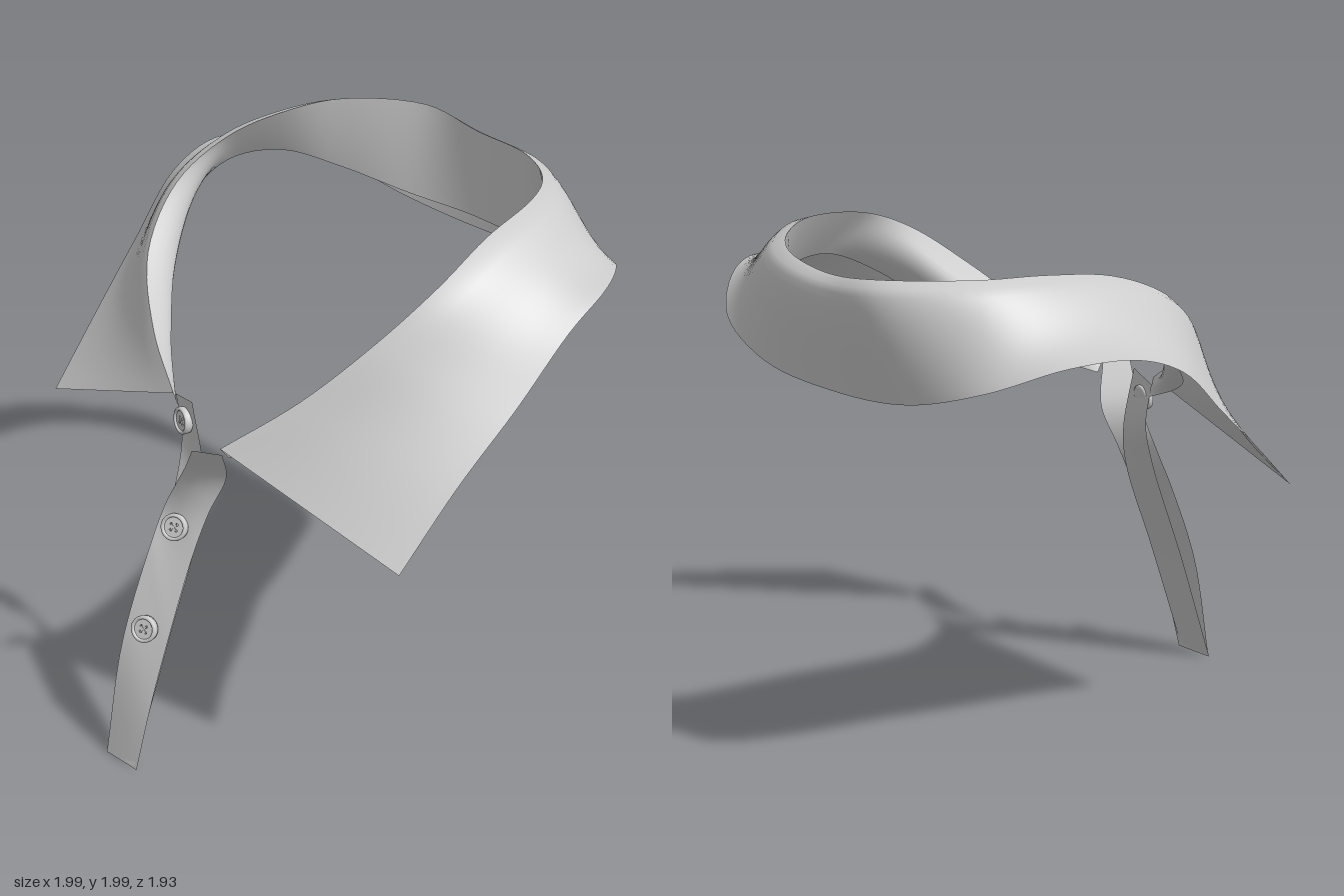
import * as THREE from 'three';

const cloth = new THREE.MeshStandardMaterial({ color: 0xcccccc, side: THREE.DoubleSide });
const curve = (pts) => new THREE.CatmullRomCurve3(pts.map((p) => new THREE.Vector3(...p)));
const outward = (p) => new THREE.Vector3(p.x, 0, p.z + 0.2).normalize();

// Smooth sheet stretched between two curves; bulge(point, t, s) may push it out
function sheet(name, a, b, nt, ns, bulge) {
  const pos = [], index = [];
  for (let i = 0; i <= nt; i++) {
    const t = i / nt, pa = a.getPoint(t), pb = b.getPoint(t);
    for (let j = 0; j <= ns; j++) {
      const p = pa.clone().lerp(pb, j / ns);
      if (bulge) bulge(p, t, j / ns);
      pos.push(p.x, p.y, p.z);
      if (i < nt && j < ns) {
        const k = i * (ns + 1) + j, m = k + ns + 1;
        index.push(k, k + 1, m, k + 1, m + 1, m);
      }
    }
  }
  const g = new THREE.BufferGeometry();
  g.setAttribute('position', new THREE.Float32BufferAttribute(pos, 3));
  g.setIndex(index);
  g.computeVertexNormals();
  const mesh = new THREE.Mesh(g, cloth);
  mesh.name = name;
  return mesh;
}

// Round button: raised rim, sunken face with four holes, crossed thread
function button(name, position, normal) {
  const group = new THREE.Group();
  group.name = name;
  const rimProfile = [[0, -0.015], [0.04, -0.015], [0.048, -0.012], [0.05, 0.004],
    [0.049, 0.014], [0.043, 0.018], [0.038, 0.015], [0.036, 0.008]];
  const rim = new THREE.Mesh(
    new THREE.LatheGeometry(rimProfile.map((p) => new THREE.Vector2(...p)), 28), cloth);
  rim.rotation.x = Math.PI / 2;
  rim.name = 'buttonRim';

  const disc = new THREE.Shape().absarc(0, 0, 0.038, 0, Math.PI * 2);
  for (let i = 0; i < 4; i++) {
    const a = Math.PI / 4 + i * Math.PI / 2;
    disc.holes.push(new THREE.Path().absarc(Math.cos(a) * 0.015, Math.sin(a) * 0.015, 0.005, 0, Math.PI * 2, true));
  }
  const face = new THREE.Mesh(
    new THREE.ExtrudeGeometry(disc, { depth: 0.01, bevelEnabled: false, curveSegments: 14 }), cloth);
  face.name = 'buttonFace';
  group.add(rim, face);
  for (const s of [-1, 1]) {
    const thread = new THREE.Mesh(new THREE.BoxGeometry(0.032, 0.005, 0.004), cloth);
    thread.position.z = 0.011;
    thread.rotation.z = s * Math.PI / 4;
    thread.name = 'buttonThread';
    group.add(thread);
  }
  group.position.set(...position);
  group.lookAt(group.position.clone().add(new THREE.Vector3(...normal)));
  return group;
}

export function createModel() {
  const model = new THREE.Group();
  model.name = 'shirtCollar';

  // Matching points round the neck, from the right front to the left front
  const fold = curve([
    [-0.15, 1.32, 0.53], [-0.36, 1.46, 0.43], [-0.56, 1.65, 0.27], [-0.65, 1.83, 0.04],
    [-0.645, 1.94, -0.22], [-0.6, 1.98, -0.48], [-0.52, 1.99, -0.71], [-0.27, 1.98, -0.91],
    [0, 1.95, -0.9], [0.28, 1.96, -0.84], [0.48, 1.97, -0.7], [0.6, 1.98, -0.5],
    [0.645, 1.94, -0.2], [0.65, 1.84, 0.04], [0.57, 1.68, 0.25], [0.42, 1.48, 0.46], [0.23, 1.3, 0.66]]);
  const leafEdge = curve([
    [-0.84, 1.07, 0.52], [-0.89, 1.28, 0.27], [-0.95, 1.49, 0], [-0.995, 1.69, -0.25],
    [-0.98, 1.77, -0.46], [-0.88, 1.76, -0.66], [-0.68, 1.67, -0.83], [-0.38, 1.58, -0.9],
    [0, 1.55, -0.915], [0.38, 1.57, -0.9], [0.68, 1.66, -0.83], [0.87, 1.76, -0.65],
    [0.975, 1.77, -0.45], [0.99, 1.69, -0.25], [0.98, 1.49, 0], [0.95, 1.28, 0.25], [0.92, 1.03, 0.5]]);
  const standEdge = curve([
    [-0.16, 1.25, 0.5], [-0.42, 1.37, 0.36], [-0.62, 1.5, 0.17], [-0.74, 1.68, -0.08],
    [-0.76, 1.78, -0.32], [-0.7, 1.77, -0.56], [-0.56, 1.69, -0.74], [-0.29, 1.63, -0.84],
    [0, 1.62, -0.87], [0.29, 1.63, -0.83], [0.54, 1.69, -0.73], [0.7, 1.77, -0.55],
    [0.76, 1.78, -0.3], [0.74, 1.68, -0.08], [0.63, 1.5, 0.15], [0.45, 1.35, 0.36], [0.22, 1.24, 0.61]]);

  // Turned-down leaf rolls outward near the fold and sags over the shoulders
  const roll = (p, t, s) => {
    const r = 0.045 * Math.sin(Math.PI * Math.sqrt(s)) * Math.sin(Math.PI * t);
    p.addScaledVector(outward(p), r);
    p.y += r * 0.3 - 0.04 * Math.sin(Math.PI * s) * Math.sin(2 * Math.PI * t) ** 2;
  };
  // Stand swells in towards the neck on both front halves
  const swell = (p, t, s) => {
    const front = Math.sin(4 * Math.PI * Math.min(t, 1 - t, 0.25));
    p.addScaledVector(outward(p), -0.08 * front * Math.sin(Math.PI * s));
  };
  model.add(sheet('collarLeaf', fold, leafEdge, 96, 14, roll));
  model.add(sheet('collarStand', standEdge, fold, 96, 10, swell));

  // Overlapping front strips, each between its two side edges
  const under = [
    curve([[-0.17, 1.3, 0.5], [-0.145, 1.14, 0.5], [-0.11, 0.95, 0.58], [-0.105, 0.5, 0.77], [-0.095, 0.01, 0.965]]),
    curve([[-0.04, 1.33, 0.54], [0.02, 1.08, 0.55], [0.06, 0.9, 0.61], [0.07, 0.5, 0.78], [0.06, 0.01, 0.965]])];
  const over = [
    curve([[0.17, 1.3, 0.735], [0.07, 1.17, 0.68], [0, 1.07, 0.66], [-0.06, 0.95, 0.67],
      [-0.07, 0.8, 0.74], [-0.08, 0.45, 0.88], [-0.09, 0, 0.97]]),
    curve([[0.24, 1.28, 0.66], [0.17, 1.12, 0.58], [0.11, 0.97, 0.61], [0.09, 0.8, 0.68],
      [0.09, 0.45, 0.83], [0.085, 0.25, 0.9], [0.07, 0, 0.965]])];
  model.add(sheet('underPlacket', ...under, 40, 4), sheet('overPlacket', ...over, 40, 4));

  model.add(
    button('collarButton', [-0.1, 1.23, 0.53], [-0.25, 0.1, 0.95]),
    button('upperButton', [0.01, 0.9, 0.685], [0.35, 0.4, 0.85]),
    button('lowerButton', [0.01, 0.54, 0.845], [0.3, 0.37, 0.88]));
  return model;
}
